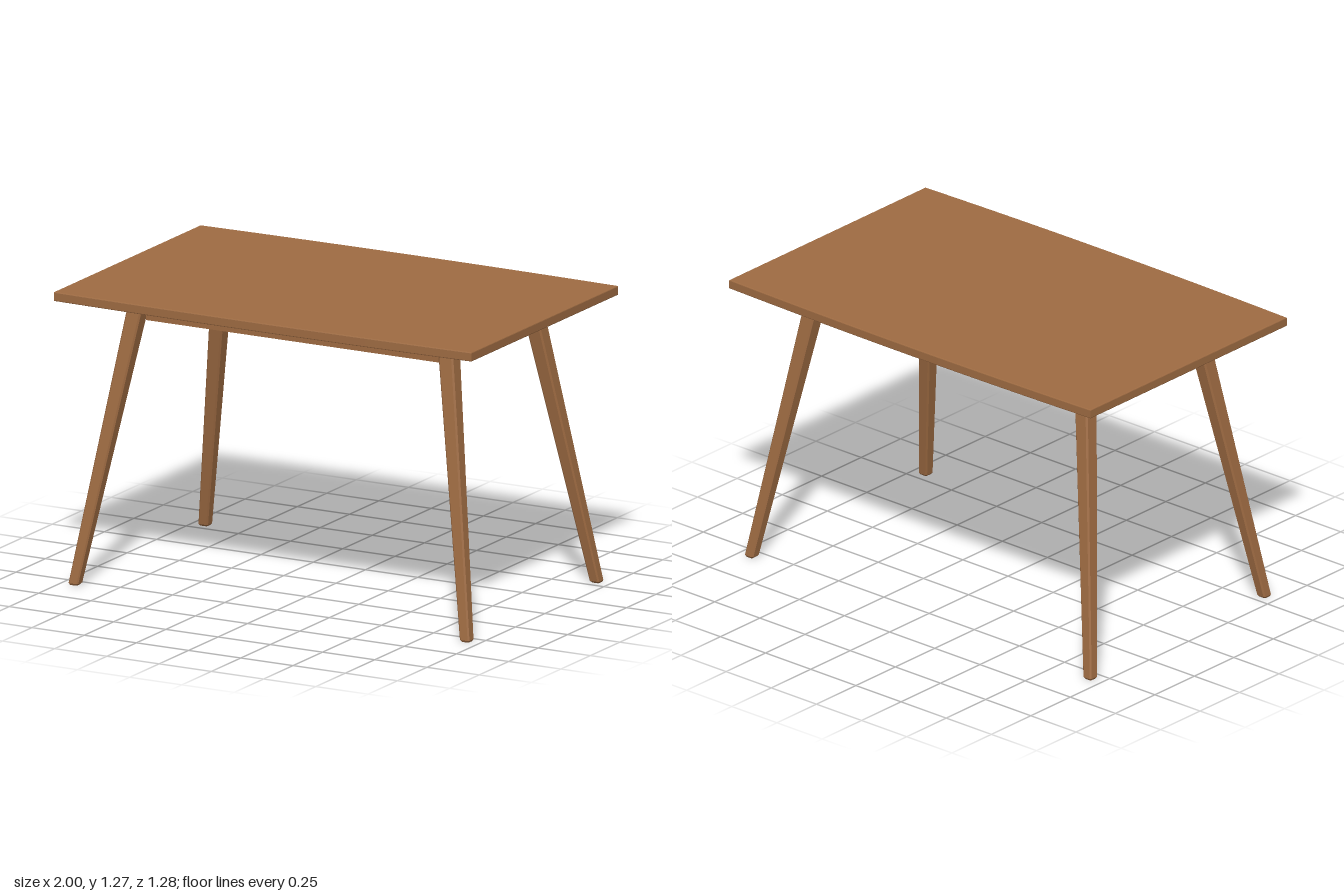
import * as THREE from 'three';

const wood = new THREE.MeshStandardMaterial({ color: 0x9e6b42 });
wood.name = 'wood';

const TOP_Y = 1.23; // underside of the tabletop

function addMesh(parent, name, geometry) {
  const mesh = new THREE.Mesh(geometry, wood);
  mesh.name = name;
  parent.add(mesh);
  return mesh;
}

// Thin board with gently bowed long sides and eased edges
function tabletopGeometry() {
  const shape = new THREE.Shape();
  shape.moveTo(-1, -0.622);
  shape.quadraticCurveTo(0, -0.654, 1, -0.622);
  shape.lineTo(1, 0.622);
  shape.quadraticCurveTo(0, 0.654, -1, 0.622);
  shape.closePath();
  const ease = 0.004;
  const geometry = new THREE.ExtrudeGeometry(shape, {
    depth: 0.04 - 2 * ease, bevelEnabled: true, bevelThickness: ease,
    bevelSize: ease, bevelOffset: -ease, bevelSegments: 2, curveSegments: 12,
  });
  geometry.rotateX(-Math.PI / 2);
  geometry.translate(0, TOP_Y + ease, 0);
  return geometry;
}

// Square section with chamfered corners, lofted along a splayed, tapering line
function legGeometry(sx, sz) {
  const levels = [
    { y: 0, x: 0.938, z: 0.552, h: 0.017, c: 0.004 },
    { y: 0.008, x: 0.9365, z: 0.5505, h: 0.023, c: 0.006 },
    { y: TOP_Y, x: 0.736, z: 0.351, h: 0.036, c: 0.007 },
  ];
  const positions = [];
  const rings = levels.map(({ y, x, z, h, c }) => {
    const k = h - c;
    return [[h, -k], [h, k], [k, h], [-k, h], [-h, k], [-h, -k], [-k, -h], [k, -h]]
      .map(([dx, dz]) => [sx * (x + dx), y, sz * (z + dz)]);
  });
  const tri = (a, b, c) => positions.push(...(sx * sz > 0 ? [a, b, c] : [a, c, b]).flat());
  for (let r = 0; r < rings.length - 1; r++) {
    for (let i = 0; i < 8; i++) {
      const j = (i + 1) % 8;
      tri(rings[r][i], rings[r + 1][i], rings[r + 1][j]);
      tri(rings[r][i], rings[r + 1][j], rings[r][j]);
    }
  }
  const top = rings[rings.length - 1];
  for (let i = 1; i < 7; i++) {
    tri(rings[0][0], rings[0][i], rings[0][i + 1]);
    tri(top[0], top[i + 1], top[i]);
  }
  const geometry = new THREE.BufferGeometry();
  geometry.setAttribute('position', new THREE.Float32BufferAttribute(positions, 3));
  geometry.computeVertexNormals();
  return geometry;
}

export function createModel() {
  const table = new THREE.Group();
  table.name = 'table';

  addMesh(table, 'tabletop', tabletopGeometry());

  // Four splayed legs
  for (const sz of [1, -1]) {
    for (const sx of [1, -1]) {
      addMesh(table, `${sz > 0 ? 'front' : 'back'}${sx > 0 ? 'Left' : 'Right'}Leg`, legGeometry(sx, sz));
    }
  }

  // Apron rails between the leg tops
  const railHeight = 0.1, railThickness = 0.034;
  for (const s of [1, -1]) {
    addMesh(table, s > 0 ? 'frontApron' : 'backApron',
      new THREE.BoxGeometry(1.4, railHeight, railThickness))
      .position.set(0, TOP_Y - railHeight / 2, s * 0.355);
    addMesh(table, s > 0 ? 'leftApron' : 'rightApron',
      new THREE.BoxGeometry(railThickness, railHeight, 0.624))
      .position.set(s * 0.74, TOP_Y - railHeight / 2, 0);
  }
  return table;
}
